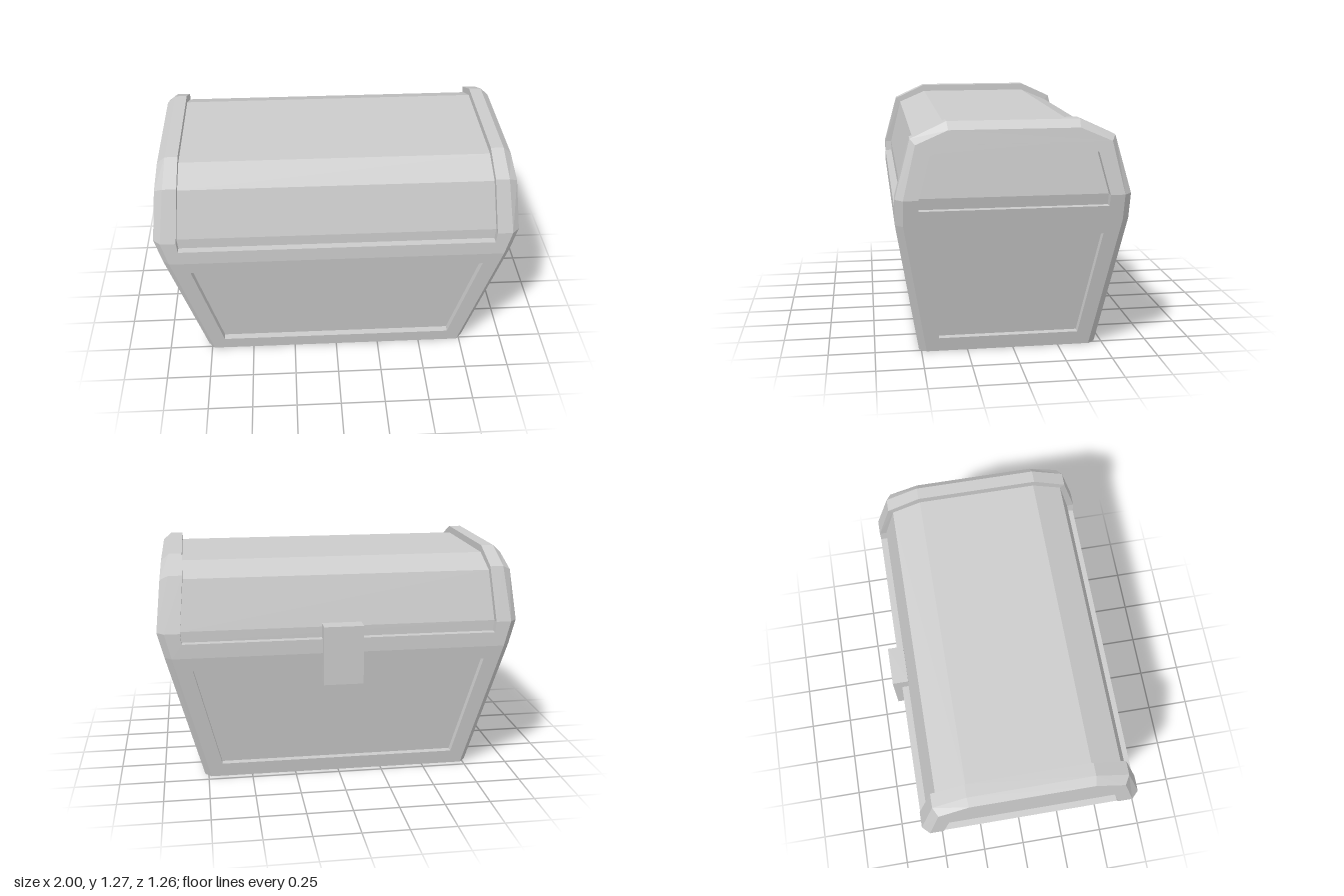
import * as THREE from 'three';

const DEPTH = 0.04;   // recess of every panel
const SEAM = 0.75, RIM = 0.83, WIDE = 0.89;

// Half profiles, bottom to top: [half depth z, height y]
const OUTER = [[0.487, 0], [0.607, SEAM], [0.607, WIDE], [0.525, 1.19], [0.34, 1.275]];
const INNER = [[0.447, 0], [0.567, SEAM], [0.567, WIDE], [0.5, 1.165], [0.335, 1.235]];
const CORNER_X = [0.735, 0.925, 0.96, 0.925, 0.92];  // front edge of the corner bevel
const BAND_X = [0.875, 0.85, 0.85];                  // inner edge of the lid band, from WIDE up

const V = (x, y, z) => new THREE.Vector3(x, y, z);
const lerp = THREE.MathUtils.lerp;

// Surface position of the front (z) and end (x) walls at height y
const frontZ = y => (y < SEAM ? lerp(0.487, 0.607, y / SEAM) : 0.607);
const endX = y => (y < WIDE ? lerp(0.77, 1, y / WIDE) : lerp(1, 0.965, (y - WIDE) / 0.345));
const onFront = (u, v, d = 0) => V(u, v, frontZ(v) - d);
const onEnd = (u, v, d = 0) => V(endX(v) - d, v, -u);

const mirror = half => [...half, ...half.map(([u, v]) => [-u, v]).reverse()];

// Front-over-the-top-to-back loop through a half profile
function loop(profile, xs) {
  const half = profile.map(([z, y], i) => V(xs[i], y, z));
  return [...half, ...half.map(p => V(p.x, p.y, -p.z)).reverse()];
}

// Quads between two polylines, left one first as seen from outside
function strip(a, b) {
  const out = [];
  for (let i = 0; i < a.length - 1; i++) {
    out.push(a[i], b[i], b[i + 1], a[i], b[i + 1], a[i + 1]);
  }
  return out;
}

// Flat polygon with an optional hole, placed on a wall
function face(outline, map, depth = 0, hole = null) {
  const toV2 = pts => pts.map(([u, v]) => new THREE.Vector2(u, v));
  const shape = new THREE.Shape(toV2(outline));
  if (hole) shape.holes.push(new THREE.Path(toV2(hole)));
  const p = new THREE.ShapeGeometry(shape).toNonIndexed().attributes.position;
  return Array.from({ length: p.count }, (_, i) => map(p.getX(i), p.getY(i), depth));
}

// Side walls of a recess (counter-clockwise outline)
function recessWalls(outline, map) {
  const ring = [...outline, outline[0]];
  return strip(ring.map(([u, v]) => map(u, v, DEPTH)), ring.map(([u, v]) => map(u, v)));
}

const material = new THREE.MeshStandardMaterial({ color: 0xcccccc, flatShading: true });

function mesh(name, ...parts) {
  const geometry = new THREE.BufferGeometry().setFromPoints(parts.flat());
  geometry.computeVertexNormals();
  const m = new THREE.Mesh(geometry, material);
  m.name = name;
  return m;
}

// Adds a part and its copy turned to the opposite side
function addPair(group, part, nameA, nameB) {
  part.name = nameA;
  const other = part.clone();
  other.name = nameB;
  other.rotation.y = Math.PI;
  group.add(part, other);
}

// Symmetric trapezoid, counter-clockwise
const trapezoid = (lowU, lowV, highU, highV) =>
  [[-lowU, lowV], [lowU, lowV], [highU, highV], [-highU, highV]];

function bodyWall(outline, panel, map) {
  return mesh('wall', face(outline, map, 0, panel), face(panel, map, DEPTH), recessWalls(panel, map));
}

export function createModel() {
  const model = new THREE.Group();
  model.name = 'chest';
  const chest = new THREE.Group();
  chest.name = 'chestShell';
  chest.position.z = 0.025;
  model.add(chest);

  // Body walls with sunken panels
  addPair(chest, bodyWall(trapezoid(0.735, 0, 0.925, SEAM),
    trapezoid(0.67, 0.08, 0.815, 0.675), onFront), 'frontWall', 'backWall');
  addPair(chest, bodyWall(trapezoid(0.447, 0, 0.567, SEAM),
    trapezoid(0.38, 0.08, 0.472, 0.675), onEnd), 'leftWall', 'rightWall');

  // Underside
  const baseHalf = [[0.735, -0.487], [0.77, -0.447], [0.77, 0.447], [0.735, 0.487]];
  const base = [...baseHalf, ...baseHalf.map(([x, z]) => [-x, -z])];
  chest.add(mesh('base', face(base, (u, v) => V(u, 0, v))));

  // Bevels running up the corners and over the lid
  const cornerLoop = loop(OUTER, CORNER_X);
  const endLoop = loop(INNER, INNER.map(([, y]) => endX(y)));
  addPair(chest, mesh('bevel', strip(cornerLoop, endLoop)), 'leftCornerBevel', 'rightCornerBevel');

  // Front and back lid rims with a shelf at the foot of the sunken lid top
  const rim = [[-0.925, SEAM], [0.925, SEAM], [0.96, WIDE], [0.875, WIDE], [0.87, RIM],
    [-0.87, RIM], [-0.875, WIDE], [-0.96, WIDE]];
  const shelf = s => [onFront(s * 0.87, RIM), onFront(s * 0.87, RIM, DEPTH)];
  addPair(chest, mesh('rim', face(rim, onFront), strip(shelf(-1), shelf(1))), 'frontLidRim', 'backLidRim');

  // Raised bands over both ends of the lid
  const bandOuter = loop(OUTER.slice(2), CORNER_X.slice(2));
  const bandInner = loop(OUTER.slice(2), BAND_X);
  const wallX = [0.87, ...BAND_X];
  const wallRim = loop([[0.607, RIM], ...OUTER.slice(2)], wallX);
  const wallDeep = loop([[0.567, RIM], ...INNER.slice(2)], wallX);
  addPair(chest, mesh('band', strip(bandInner, bandOuter), strip(wallDeep, wallRim)),
    'leftLidBand', 'rightLidBand');

  // Sunken lid top between the bands
  chest.add(mesh('lidTop', strip(wallDeep.map(p => V(-p.x, p.y, p.z)), wallDeep)));

  // Lid ends with sunken panels, creased at the widest height
  const panelTop = mirror([[0.49, WIDE], [0.43, 1.11], [0.32, 1.16]]);
  const panelFoot = trapezoid(0.49, RIM, 0.49, WIDE);
  const endFoot = [[-0.567, SEAM], [0.567, SEAM], [0.567, WIDE], [0.49, WIDE], [0.49, RIM],
    [-0.49, RIM], [-0.49, WIDE], [-0.567, WIDE]];
  const endArch = [...mirror(INNER.slice(2)), ...[...panelTop].reverse()];
  const panel = [[-0.49, RIM], [0.49, RIM], ...panelTop];
  addPair(chest, mesh('lidEnd',
    face(endFoot, onEnd), face(endArch, onEnd),
    face(panelFoot, onEnd, DEPTH), face(panelTop, onEnd, DEPTH),
    recessWalls(panel, onEnd)), 'leftLidEnd', 'rightLidEnd');

  // Latch plate
  const latch = new THREE.Mesh(new THREE.BoxGeometry(0.22, 0.33, 0.09), material);
  latch.name = 'latch';
  latch.position.set(-0.005, 0.745, -0.585);
  model.add(latch);

  return model;
}
